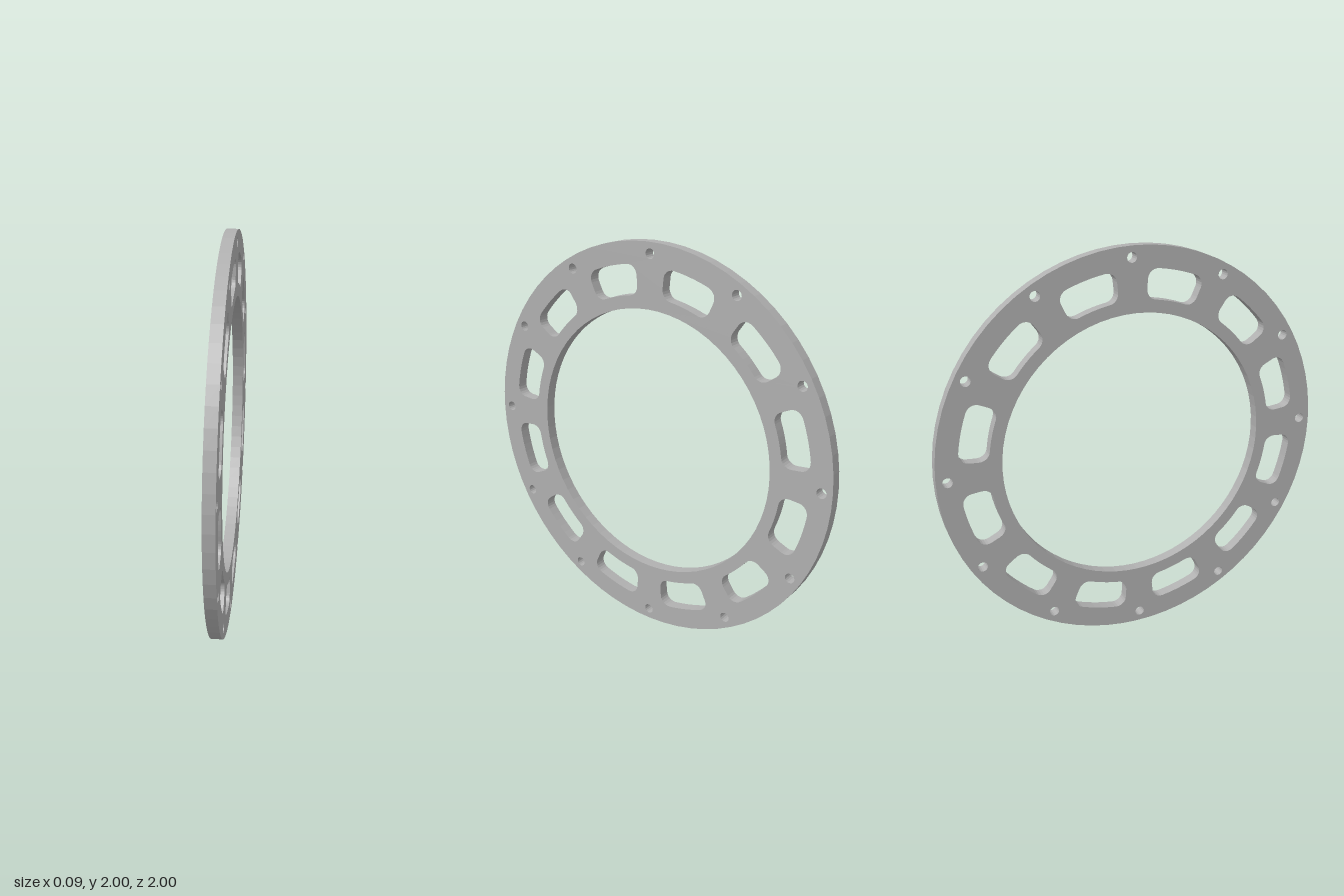
import * as THREE from 'three';

const THICKNESS = 0.056;
const COUNT = 12;
const TWIST = THREE.MathUtils.degToRad(-0.9);

// Points of a circle
function circle(cx, cy, r, n) {
  return Array.from({ length: n }, (_, i) => {
    const a = (i / n) * Math.PI * 2;
    return new THREE.Vector2(cx + r * Math.cos(a), cy + r * Math.sin(a));
  });
}

// Rounded rectangle bent around the ring centre
function slot(angle, rIn, rOut, halfAngle, fillet) {
  const mid = (rIn + rOut) / 2;
  const halfR = (rOut - rIn) / 2 - fillet;
  const halfS = mid * halfAngle - fillet;
  const flat = [];
  const corners = [[1, 1], [-1, 1], [-1, -1], [1, -1]];
  corners.forEach(([sx, sy], c) => {
    for (let i = 0; i <= 6; i++) {
      const a = (c + i / 6) * Math.PI / 2;
      flat.push([sx * halfR + fillet * Math.cos(a), sy * halfS + fillet * Math.sin(a)]);
    }
    // extra points along the long curved edges
    if (c % 2 === 1 || c === 3) {
      return;
    }
    const dir = sx;
    void dir;
  });
  // subdivide long edges so they follow the arc
  const pts = [];
  flat.forEach(([r, s], i) => {
    const [r2, s2] = flat[(i + 1) % flat.length];
    const n = Math.max(1, Math.ceil(Math.abs(s2 - s) / 0.04));
    for (let k = 0; k < n; k++) {
      const t = k / n;
      const rad = mid + r + (r2 - r) * t;
      const a = angle + (s + (s2 - s) * t) / mid;
      pts.push(new THREE.Vector2(rad * Math.cos(a), rad * Math.sin(a)));
    }
  });
  return pts;
}

export function createModel() {
  const model = new THREE.Group();
  model.name = 'flangeRing';
  const grey = new THREE.MeshStandardMaterial({ color: 0xb0b0b0 });
  grey.name = 'metal grey';

  // Ring outline with central bore
  const shape = new THREE.Shape(circle(0, 0, 1, 72));
  shape.holes.push(new THREE.Path(circle(0, 0, 0.683, 72)));

  // Bolt holes and lightening slots
  for (let i = 0; i < COUNT; i++) {
    const a = TWIST + (i / COUNT) * Math.PI * 2;
    shape.holes.push(new THREE.Path(circle(0.945 * Math.cos(a), 0.945 * Math.sin(a), 0.025, 16)));
    shape.holes.push(new THREE.Path(
      slot(a + Math.PI / COUNT, 0.745, 0.893, THREE.MathUtils.degToRad(9.7), 0.05)));
  }

  const geometry = new THREE.ExtrudeGeometry(shape, { depth: THICKNESS, bevelEnabled: false });
  geometry.translate(0, 0, -THICKNESS / 2);
  geometry.rotateY(Math.PI / 2);

  // Slightly leaning ring plate
  const ring = new THREE.Mesh(geometry, grey);
  ring.name = 'ringPlate';
  ring.rotation.z = -0.015;
  ring.position.y = 1;
  model.add(ring);
  return model;
}
